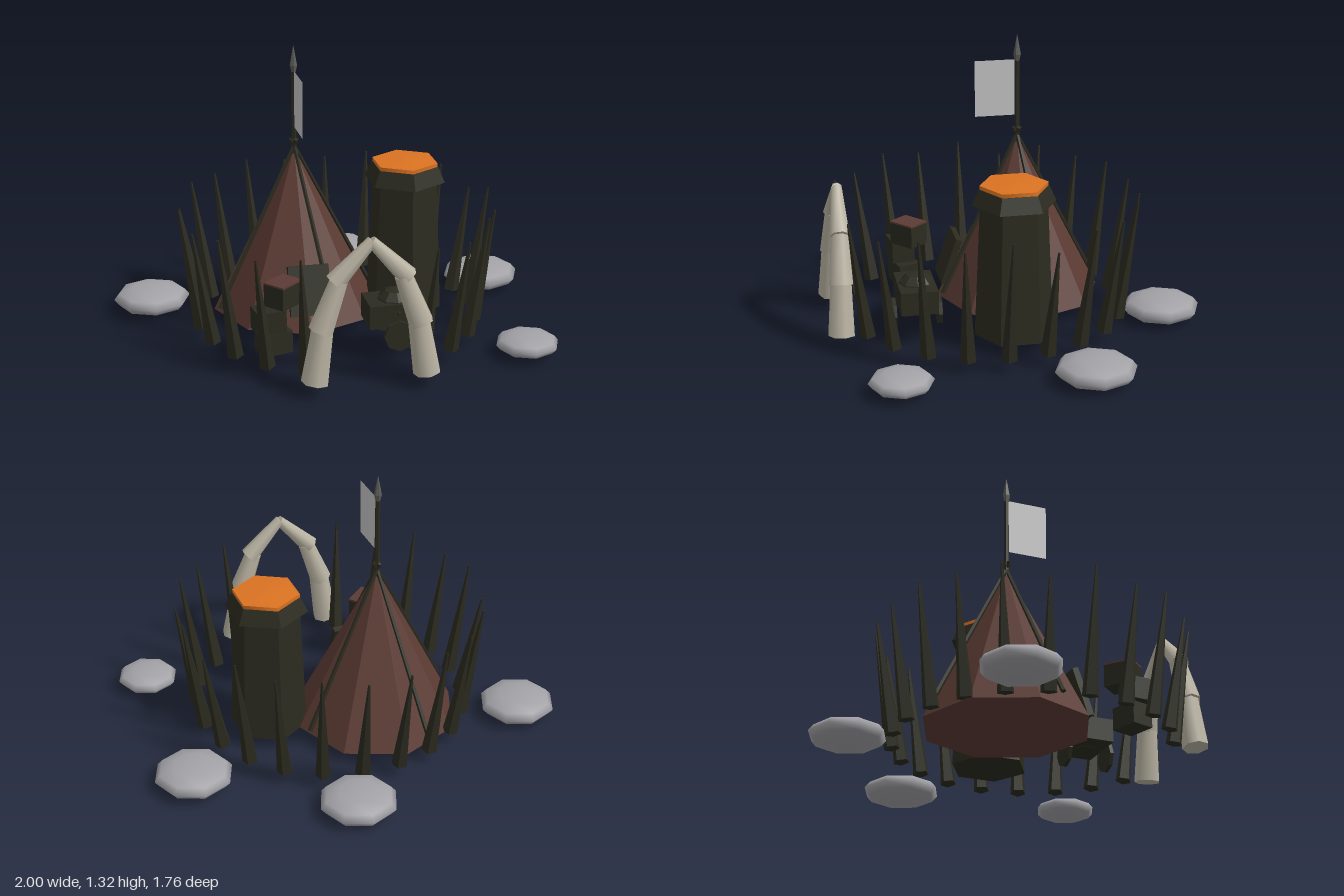
import * as THREE from 'three';

const mat = (name, color, flatShading = false, side = THREE.FrontSide) => {
  const m = new THREE.MeshStandardMaterial({ color, flatShading, side });
  m.name = name;
  return m;
};

export function createModel() {
  const hide = mat('brown hide', 0x5c3b34, true);
  const wood = mat('dark wood', 0x2b2b20, true);
  const bone = mat('bone', 0xbab4a3);
  const ember = mat('ember orange', 0xdb7322);
  const stone = mat('grey stone', 0xa2a2a7);
  const iron = mat('iron', 0x5c5d57, true);
  const cloth = mat('pale cloth', 0xc6c6c6, false, THREE.DoubleSide);

  const model = new THREE.Group();
  const GROUND = 0.06;

  function add(name, geometry, material, x = 0, y = 0, z = 0, parent = model) {
    const mesh = new THREE.Mesh(geometry, material);
    mesh.name = name;
    mesh.position.set(x, y, z);
    parent.add(mesh);
    return mesh;
  }

  // Tapered rod from point a to point b
  function rod(name, a, b, ra, rb, sides, material, parent = model) {
    const from = new THREE.Vector3(...a), to = new THREE.Vector3(...b);
    const dir = to.clone().sub(from);
    const mesh = add(name, new THREE.CylinderGeometry(rb, ra, dir.length(), sides), material, 0, 0, 0, parent);
    mesh.position.copy(from).add(to).multiplyScalar(0.5);
    mesh.quaternion.setFromUnitVectors(new THREE.Vector3(0, 1, 0), dir.normalize());
    return mesh;
  }

  // Flattened boulders round the camp: x, z, radius, half height
  for (const [x, z, r, h] of [
    [0.19, -0.695, 0.182, 0.06], [-0.818, -0.27, 0.182, 0.06],
    [0.813, -0.23, 0.185, 0.06], [0.775, 0.62, 0.146, 0.047],
  ]) {
    add('boulder', new THREE.SphereGeometry(1, 8, 6), stone, x, 0.062, z).scale.set(r, h, r);
  }

  // Tent: eight sided hide, crossing poles and a leaning door flap
  const tent = new THREE.Group();
  tent.name = 'tent';
  tent.position.set(-0.157, 0, -0.07);
  model.add(tent);
  add('tentHide', new THREE.CylinderGeometry(0.012, 0.39, 0.75, 8), hide, 0, GROUND + 0.375, 0, tent);
  for (let i = 0; i < 4; i++) {
    const a = 0.285 + i * Math.PI / 2;
    const s = Math.sin(a), c = Math.cos(a);
    rod('tentPole', [s * 0.395, 0.11, c * 0.395], [-s * 0.018, 0.88, -c * 0.018], 0.012, 0.009, 5, wood, tent);
  }
  add('doorFlap', new THREE.BoxGeometry(0.19, 0.23, 0.03), wood, 0, 0.255, 0.333, tent).rotation.x = -0.33;

  // Mast with spear tip and banner
  rod('mast', [0, 0.78, 0], [0, 1.23, 0], 0.013, 0.011, 6, wood, tent);
  rod('spearTipBase', [0, 1.2, 0], [0, 1.23, 0], 0.011, 0.018, 6, iron, tent);
  rod('spearTip', [0, 1.23, 0], [0, 1.322, 0], 0.018, 0.001, 6, iron, tent);
  add('banner', new THREE.PlaneGeometry(0.19, 0.268), cloth, 0, 1.072, 0.105, tent).rotation.y = Math.PI / 2;

  // Six sided watchtower with flared collar and glowing top
  const tower = new THREE.Group();
  tower.name = 'tower';
  tower.position.set(0.345, 0, 0.043);
  model.add(tower);
  add('towerBody', new THREE.CylinderGeometry(0.155, 0.182, 0.63, 6), wood, 0, GROUND + 0.315, 0, tower);
  add('towerCollar', new THREE.CylinderGeometry(0.16, 0.193, 0.073, 6), wood, 0, 0.72, 0, tower);
  add('emberRim', new THREE.CylinderGeometry(0.157, 0.157, 0.018, 6), ember, 0, 0.765, 0, tower);
  const dome = [[0.157, 0.773], [0.08, 0.779], [0, 0.781]].map(p => new THREE.Vector2(...p));
  add('emberTop', new THREE.LatheGeometry(dome, 6), ember, 0, 0, 0, tower);

  // Ring of outward leaning stakes, leaving a gap for the gate
  for (let i = 0; i < 20; i++) {
    const a = (i - 9.5) * Math.PI * 2 / 22;
    const side = Math.abs(i - 9.5) - 0.5;
    const height = [0.6, 0.63, 0.61, 0.63, 0.57, 0.635, 0.6, 0.635, 0.59, 0.62][side];
    const at = (r, y) => [Math.sin(a) * r, y, 0.12 - Math.cos(a) * r];
    rod('stake', at(0.638, GROUND), at(0.728, height), 0.038, 0.005, 5, wood);
  }

  // Gate arch of two jointed tusks meeting at the top
  const gate = new THREE.Group();
  gate.name = 'tuskGate';
  model.add(gate);
  for (const s of [-1, 1]) {
    rod('tuskLower', [s * 0.25, GROUND + 0.005, 0.82], [s * 0.212, 0.315, 0.812], 0.062, 0.049, 7, bone, gate);
    rod('tuskMiddle', [s * 0.222, 0.3, 0.812], [s * 0.14, 0.525, 0.805], 0.056, 0.04, 7, bone, gate);
    rod('tuskUpper', [s * 0.162, 0.515, 0.806], [s * -0.003, 0.69, 0.8], 0.046, 0.025, 7, bone, gate);
  }

  // Handcart with a round load and two wheels
  const cart = new THREE.Group();
  cart.name = 'cart';
  cart.position.set(0.19, 0, 0.47);
  model.add(cart);
  add('cartBed', new THREE.BoxGeometry(0.265, 0.11, 0.172), wood, 0, 0.22, 0, cart);
  add('cartLoad', new THREE.SphereGeometry(0.09, 8, 6), wood, 0, 0.235, 0, cart);
  for (const z of [-0.105, 0.105]) {
    add('cartWheel', new THREE.CylinderGeometry(0.072, 0.072, 0.018, 8), wood, 0, 0.133, z, cart).rotation.x = Math.PI / 2;
  }

  // Stack of crates, the top one with a hide lid: x, y, z, turn
  for (const [x, y, z, turn] of [
    [-0.36, 0.112, 0.45, 0.3], [-0.385, 0.222, 0.465, 0.12], [-0.312, 0.325, 0.432, 0.7],
  ]) {
    add('crate', new THREE.BoxGeometry(0.135, 0.104, 0.11), wood, x, y, z).rotation.y = turn;
  }
  add('crateLid', new THREE.BoxGeometry(0.137, 0.008, 0.112), hide, -0.312, 0.381, 0.432).rotation.y = 0.7;

  return model;
}
